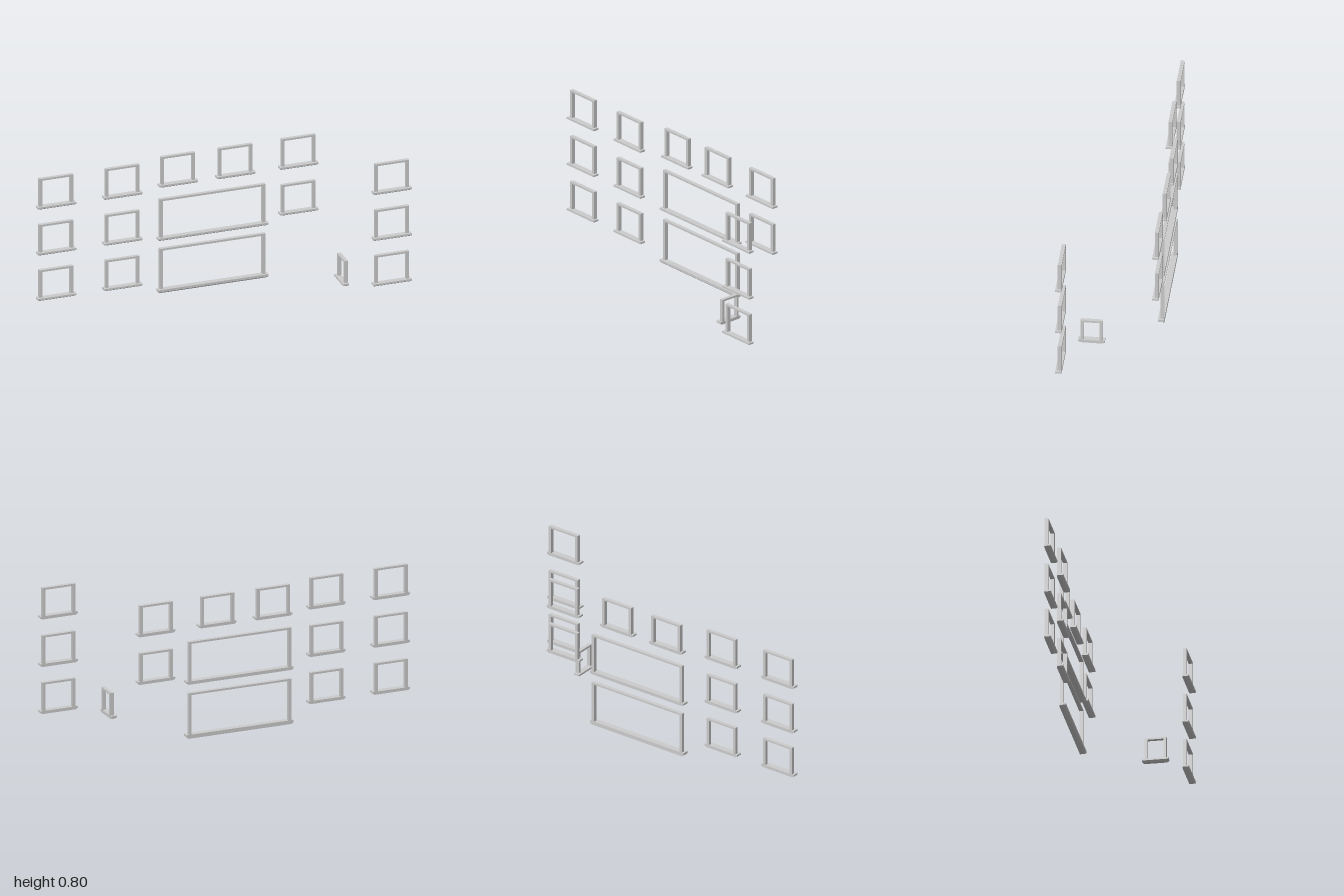
import * as THREE from 'three';

const material = new THREE.MeshStandardMaterial({ color: 0xcccccc, flatShading: true });

// Upside-down U: two jambs and a head, open at the sill
function frameGeometry(w, bottom, top, depth, jamb, head) {
  const a = w / 2, b = a - jamb;
  const s = new THREE.Shape();
  s.moveTo(-a, bottom);
  s.lineTo(-b, bottom);
  s.lineTo(-b, top - head);
  s.lineTo(b, top - head);
  s.lineTo(b, bottom);
  s.lineTo(a, bottom);
  s.lineTo(a, top);
  s.lineTo(-a, top);
  s.closePath();
  return new THREE.ExtrudeGeometry(s, { depth, bevelEnabled: false });
}

// Sill slab whose underside is chamfered at the front and both ends
function sillGeometry(w, h, depth, chamfer) {
  const g = new THREE.BoxGeometry(w, h, depth, 1, 2, 1);
  const p = g.attributes.position;
  for (let i = 0; i < p.count; i++) {
    const y = p.getY(i);
    if (Math.abs(y) < 1e-6) p.setY(i, -h * 0.1);
    if (y < -h * 0.4) {
      p.setX(i, p.getX(i) - Math.sign(p.getX(i)) * chamfer);
      if (p.getZ(i) > 0) p.setZ(i, p.getZ(i) - chamfer);
    }
  }
  g.computeVertexNormals();
  return g;
}

// One window surround, facing +z, with its back face on local z = 0
function makeWindow(name, { w, h, sillH = 0.017, overhang = 0.013, jamb = 0.017, head = 0.011 }) {
  const depth = 0.021, sillDepth = 0.034;
  const group = new THREE.Group();
  group.name = name;
  const frame = new THREE.Mesh(frameGeometry(w, sillH, h, depth, jamb, head), material);
  frame.name = 'frame';
  const sill = new THREE.Mesh(sillGeometry(w + overhang * 2, sillH, sillDepth, 0.011), material);
  sill.name = 'sill';
  sill.position.set(0, sillH / 2, sillDepth / 2);
  group.add(frame, sill);
  return group;
}

export function createModel() {
  const model = new THREE.Group();
  model.name = 'windowSurrounds';
  const rows = [0.081, 0.351, 0.624];

  // Columns of small windows: centre x, back z, rows used
  const columns = [
    ['outerRight', -0.891, -0.212, [0, 1, 2]],
    ['innerRight', -0.508, -0.212, [0, 1, 2]],
    ['middleRight', -0.17, -0.26, [2]],
    ['middleLeft', 0.162, -0.26, [2]],
    ['innerLeft', 0.526, -0.26, [1, 2]],
    ['outerLeft', 0.888, 0.228, [0, 1, 2]],
  ];
  for (const [name, x, z, used] of columns) {
    for (const r of used) {
      const win = makeWindow(`${name}Window${r + 1}`, { w: 0.196, h: 0.179 });
      win.position.set(x, rows[r], z);
      model.add(win);
    }
  }

  // Two wide windows in the middle
  for (const [name, y, h, sillH] of [
    ['lowerWideWindow', 0, 0.26, 0.022],
    ['upperWideWindow', 0.31, 0.244, 0.018],
  ]) {
    const win = makeWindow(name, { w: 0.61, h, sillH });
    win.position.set(0.028, y, -0.257);
    model.add(win);
  }

  // Narrow window on the return wall, facing -x
  const side = makeWindow('sideWindow', { w: 0.118, h: 0.146, jamb: 0.014, overhang: 0.014 });
  side.rotation.y = -Math.PI / 2;
  side.position.set(0.666, 0.068, 0.103);
  model.add(side);

  return model;
}
